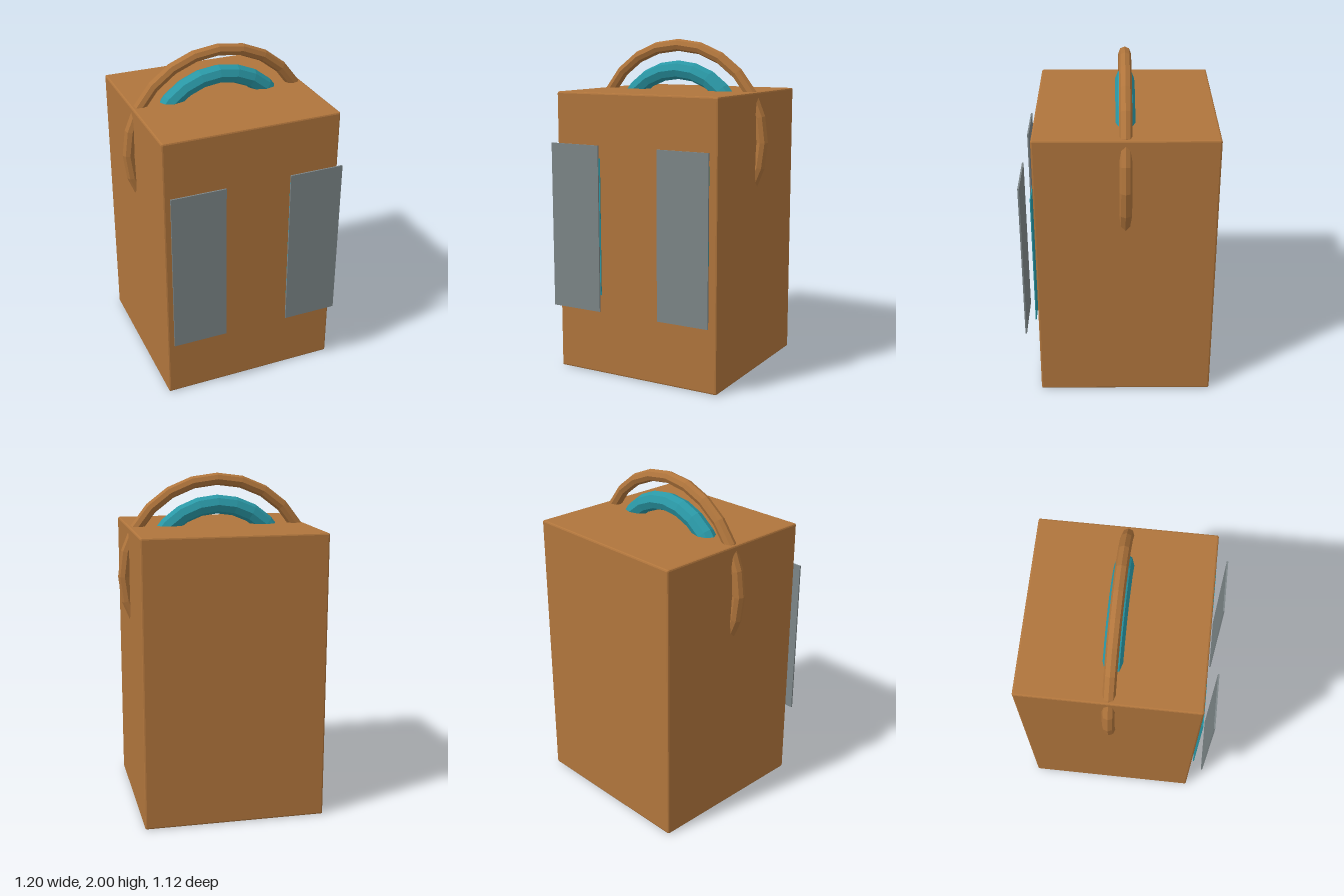
import * as THREE from 'three';
import { RoundedBoxGeometry } from 'three/addons/geometries/RoundedBoxGeometry.js';

function material(name, color, flatShading = false) {
  const m = new THREE.MeshStandardMaterial({ color, flatShading });
  m.name = name;
  return m;
}

export function createModel() {
  const model = new THREE.Group();
  model.name = 'handledBox';
  const brown = material('brown', 0xb0753c, true);
  const teal = material('teal', 0x2a98a6, true);
  const grey = material('grey', 0x7c8587, true);

  function add(name, geometry, mat, x, y, z) {
    const mesh = new THREE.Mesh(geometry, mat);
    mesh.name = name;
    mesh.position.set(x, y, z);
    model.add(mesh);
    return mesh;
  }

  // Main body with a tiny softened edge
  add('body', new RoundedBoxGeometry(1.07, 1.69, 1.035, 1, 0.01), brown, 0, 0.85, -0.0425);

  // Two concentric rings, sunk into the body
  add('outerRing', new THREE.TorusGeometry(0.564, 0.036, 8, 24), brown, 0, 1.4, -0.04);
  add('innerRing', new THREE.TorusGeometry(0.415, 0.056, 8, 24), teal, 0, 1.4, -0.04);

  // Floating front panels, each with a smaller plate behind
  for (const [side, s] of [['left', 1], ['right', -1]]) {
    add(side + 'Panel', new THREE.BoxGeometry(0.325, 0.985, 0.009), grey, s * 0.358, 0.907, 0.554);
    add(side + 'BackPlate', new THREE.BoxGeometry(0.265, 0.82, 0.006), teal, s * 0.358, 0.907, 0.493);
  }

  return model;
}
